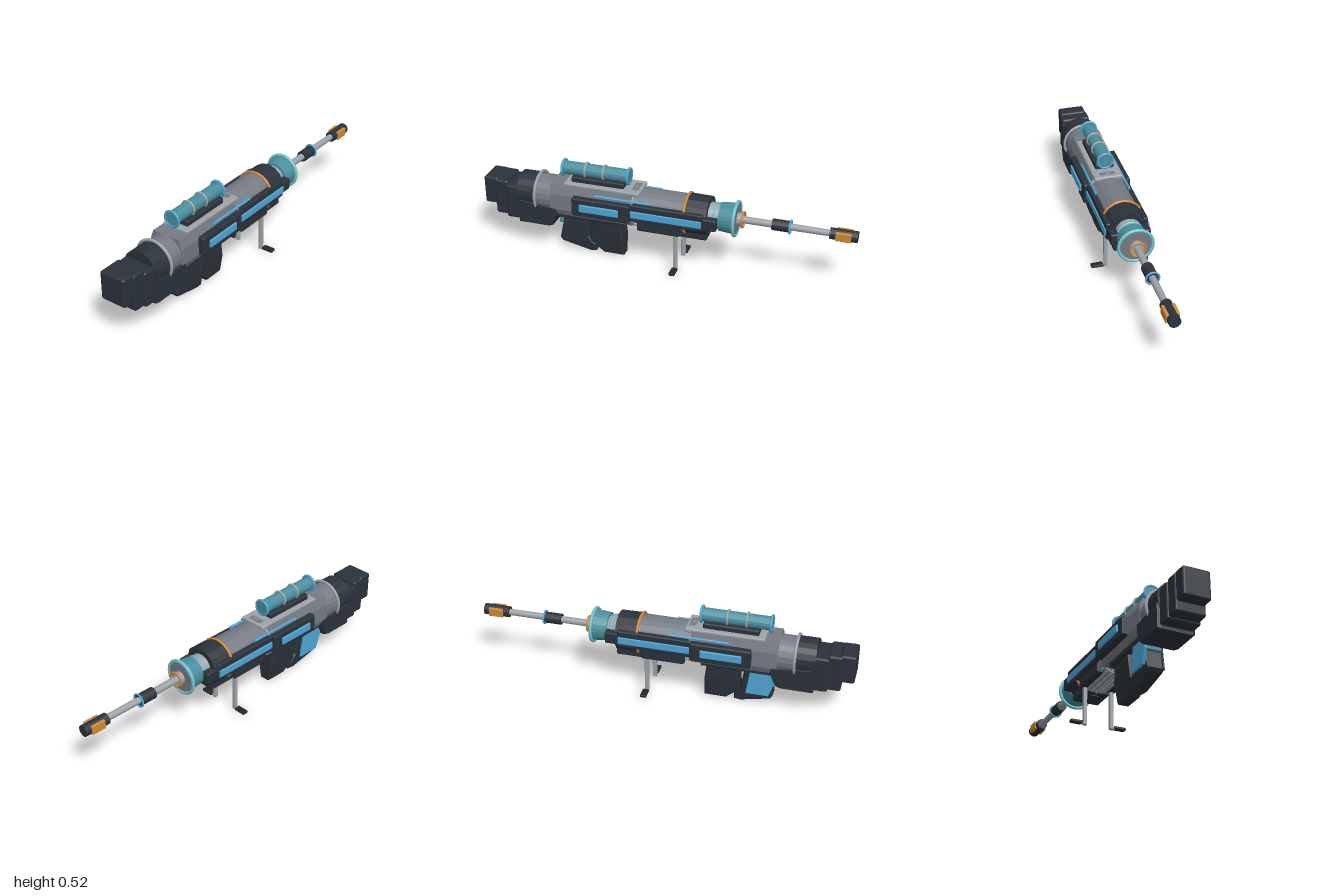
import * as THREE from 'three';
import { RoundedBoxGeometry } from 'three/addons/geometries/RoundedBoxGeometry.js';

const mat = (color, flatShading = false) => new THREE.MeshStandardMaterial({ color, flatShading });
const M = {
  dark: mat(0x2b323b), darkFlat: mat(0x2b323b, true), black: mat(0x22272e),
  grey: mat(0x757a84, true), light: mat(0x9da3a8), blue: mat(0x4fa6d6),
  teal: mat(0x4a8f9e, true), cyan: mat(0x72c4cf), orange: mat(0xd08a38),
};
const BORE = 0.325, BODY = 0.318;

export function createModel() {
  const root = new THREE.Group();
  const add = (name, geo, m) => {
    const mesh = new THREE.Mesh(geo, m);
    mesh.name = name;
    root.add(mesh);
    return mesh;
  };
  // Box given by its extents, with softened edges
  const box = (name, m, x0, x1, y0, y1, z0, z1, r = 0.008) => {
    const g = new RoundedBoxGeometry(x1 - x0, y1 - y0, z1 - z0, 2, r);
    g.translate((x0 + x1) / 2, (y0 + y1) / 2, (z0 + z1) / 2);
    return add(name, g, m);
  };
  // Cylinder along z; rBack is the radius at the larger z
  const tube = (name, m, y, z0, z1, rFront, rBack = rFront, seg = 24, x = 0) => {
    const g = new THREE.CylinderGeometry(rBack, rFront, z1 - z0, seg);
    g.rotateX(Math.PI / 2).translate(x, y, (z0 + z1) / 2);
    return add(name, g, m);
  };
  // Ring around z; an arc shorter than a full turn is centred on the top
  const ring = (name, m, y, z, r, t, arc = Math.PI * 2) => {
    const g = new THREE.TorusGeometry(r, t, 8, 32, arc);
    g.rotateZ(Math.PI / 2 - arc / 2).translate(0, y, z);
    return add(name, g, m);
  };
  // Side profile of [z, y] points, extruded across x with a bevel
  const profile = (name, m, pts, x0, x1, bevel, taper) => {
    const shape = new THREE.Shape(pts.map(p => new THREE.Vector2(...p)));
    const g = new THREE.ExtrudeGeometry(shape, {
      depth: x1 - x0 - 2 * bevel, bevelSize: bevel * 0.6, bevelThickness: bevel, bevelOffset: -bevel * 0.6, bevelSegments: 1,
    });
    g.rotateY(-Math.PI / 2).translate(x1 - bevel, 0, 0);
    if (taper) {
      const p = g.attributes.position;
      for (let i = 0; i < p.count; i++) p.setX(i, p.getX(i) * taper(p.getY(i)));
      g.computeVertexNormals();
    }
    return add(name, g, m);
  };

  // Stepped stock
  box('buttPad', M.dark, -0.073, 0.073, 0.235, 0.39, 0.92, 1.0, 0.012);
  box('stockRearStep', M.dark, -0.08, 0.08, 0.183, 0.383, 0.86, 0.935, 0.012);
  box('stockMiddleStep', M.dark, -0.088, 0.088, 0.172, 0.365, 0.79, 0.87, 0.012);
  profile('lowerStock', M.darkFlat, [[0.8, 0.155], [0.8, 0.3], [0.575, 0.28], [0.575, 0.235], [0.605, 0.165], [0.63, 0.155]],
    -0.099, 0.099, 0.016);
  tube('stockSleeve', M.darkFlat, BODY, 0.7, 0.802, 0.1, 0.1, 20);
  ring('stockRing', M.light, BODY, 0.698, 0.106, 0.008, Math.PI * 1.33);

  // Receiver
  tube('rearBarrelShroud', M.grey, BODY, 0.53, 0.71, 0.096, 0.096, 20);
  const section = new THREE.Shape([[-0.08, 0.235], [0.08, 0.235], [0.096, 0.27], [0.096, 0.36], [0.078, 0.412], [-0.078, 0.412], [-0.096, 0.36], [-0.096, 0.27]]
    .map(p => new THREE.Vector2(...p)));
  add('receiver', new THREE.ExtrudeGeometry(section, { depth: 0.45, bevelEnabled: false }).translate(0, 0, 0.16), M.grey);
  box('topRail', M.light, -0.076, 0.076, 0.4, 0.424, 0.125, 0.54);
  box('railVent', M.grey, -0.04, 0.04, 0.415, 0.428, 0.14, 0.175, 0.005);
  box('lowerReceiver', M.darkFlat, -0.07, 0.07, 0.21, 0.26, 0.21, 0.6);

  // Forward body
  tube('foreBody', M.grey, BODY, -0.13, 0.17, 0.1, 0.1, 20);
  tube('foreCap', M.darkFlat, BODY, -0.24, -0.125, 0.104, 0.106, 16);
  ring('foreBand', M.orange, BODY, -0.122, 0.106, 0.007);
  ring('receiverHoop', M.light, BODY, 0.158, 0.104, 0.008);
  box('bellyBlock', M.dark, -0.075, 0.075, 0.208, 0.26, -0.24, -0.09);
  for (let i = -3; i <= 3; i++) {
    const a = i * 0.24;
    tube('bellySlat', M.light, BODY - 0.103 * Math.cos(a), -0.1, 0.15, 0.008, 0.008, 8, 0.103 * Math.sin(a));
  }

  // Side pods, blue panels, cables and bipod, mirrored
  for (const s of [-1, 1]) {
    const side = (name, m, x0, x1, ...rest) => box(name, m, Math.min(s * x0, s * x1), Math.max(s * x0, s * x1), ...rest);
    side('rearPod', M.dark, 0.075, 0.127, 0.266, 0.368, 0.165, 0.48);
    side('rearPodPanel', M.blue, 0.12, 0.137, 0.298, 0.339, 0.22, 0.435, 0.004);
    side('forePod', M.dark, 0.07, 0.111, 0.275, 0.37, -0.225, 0.17);
    side('forePodNose', M.dark, 0.06, 0.105, 0.284, 0.348, -0.295, -0.2);
    side('forePodPanel', M.blue, 0.1, 0.118, 0.298, 0.337, -0.22, 0.16, 0.004);
    side('podSkirt', M.dark, 0.06, 0.099, 0.218, 0.29, -0.1, 0.13);
    tube('sideCable', M.blue, 0.38, 0.05, 0.36, 0.007, 0.007, 8, s * 0.09);
    side('bipodLeg', M.light, 0.065, 0.085, 0.008, 0.25, -0.085, -0.063, 0.004);
    side('bipodFoot', M.black, 0.09, 0.155, 0.013, 0.028, -0.092, -0.06, 0.004);
    side('bipodAxle', M.light, 0.07, 0.1, 0.012, 0.024, -0.082, -0.068, 0.003);
    side('muzzlePanel', M.orange, 0.015, 0.034, 0.302, 0.348, -0.97, -0.89, 0.003);
  }

  // Grip and magazine, narrowing towards the bottom
  const narrow = y => THREE.MathUtils.lerp(0.6, 1, THREE.MathUtils.clamp(y / 0.13, 0, 1));
  profile('grip', M.darkFlat, [[0.55, 0.235], [0.44, 0.235], [0.42, 0.1], [0.385, 0.055], [0.385, 0.012], [0.42, 0.008], [0.575, 0.045], [0.588, 0.065]],
    -0.053, 0.053, 0.014, narrow);
  profile('magazine', M.darkFlat, [[0.4, 0.215], [0.24, 0.218], [0.227, 0.12], [0.227, 0.012], [0.34, 0.012], [0.378, 0.045], [0.412, 0.08]],
    -0.055, 0.055, 0.014, narrow);
  const plate = [[0.535, 0.225], [0.445, 0.225], [0.43, 0.08], [0.555, 0.08]];
  profile('gripPlate', M.dark, plate, 0.04, 0.064, 0.003);
  profile('gripPanel', M.blue, [[0.6, 0.215], [0.47, 0.215], [0.45, 0.08], [0.57, 0.08], [0.597, 0.155]], -0.066, -0.05, 0.003);
  box('gripSpacer', M.teal, -0.05, 0.03, 0.155, 0.215, 0.53, 0.59, 0.004);

  // Flared bell, barrel and muzzle
  tube('neck', M.light, BORE, -0.3, -0.23, 0.062, 0.07);
  ring('neckRing', M.cyan, BORE, -0.272, 0.066, 0.006);
  tube('bell', M.teal, BORE, -0.375, -0.295, 0.082, 0.075, 24);
  ring('bellRim', M.cyan, BORE, -0.378, 0.088, 0.009);
  tube('bellFace', M.grey, BORE, -0.384, -0.37, 0.078, 0.082);
  tube('barrelCollar', M.light, BORE, -0.41, -0.37, 0.034, 0.034);
  ring('collarRing', M.orange, BORE, -0.413, 0.039, 0.006);
  tube('barrel', M.light, BORE, -0.88, -0.38, 0.017, 0.019, 16);
  tube('barrelSleeve', M.darkFlat, BORE, -0.655, -0.565, 0.03, 0.03, 16);
  ring('sleeveRing', M.blue, BORE, -0.658, 0.033, 0.005);
  tube('muzzle', M.darkFlat, BORE, -1.0, -0.86, 0.03, 0.03, 16);

  // Scope on its mount
  const sy = 0.478;
  box('scopeMount', M.dark, -0.05, 0.05, 0.418, 0.452, 0.215, 0.505);
  box('scopeFoot', M.dark, -0.025, 0.025, 0.435, 0.47, 0.25, 0.47, 0.005);
  tube('scopeTube', M.teal, sy, 0.195, 0.56, 0.036, 0.036, 16);
  for (const z of [0.2, 0.56]) ring('scopeRim', M.blue, sy, z, 0.041, 0.007);
  for (const z of [0.335, 0.435]) ring('scopeClamp', M.light, sy, z, 0.038, 0.006);
  tube('scopeLens', M.teal, sy, 0.55, 0.563, 0.037);
  return root;
}
